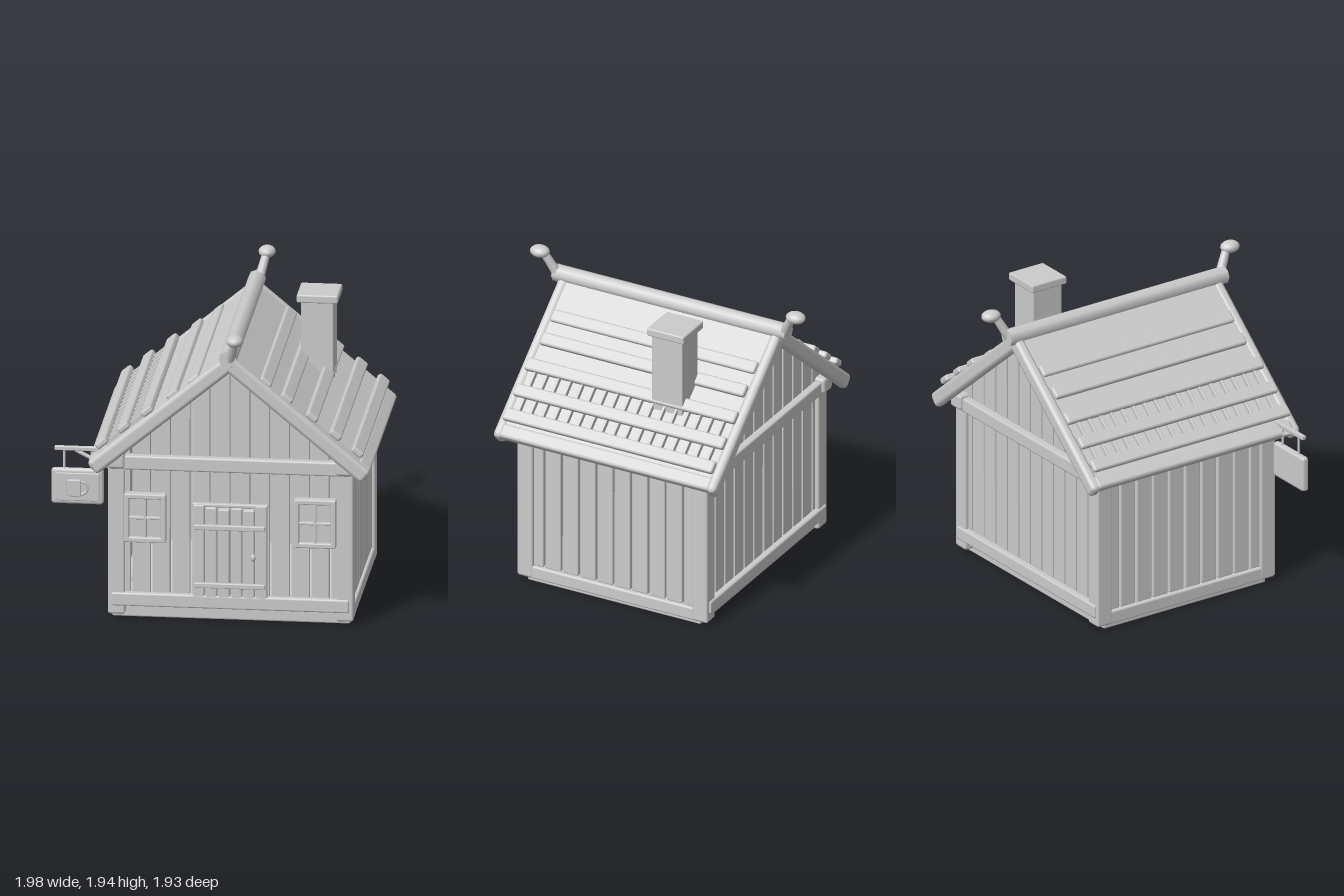
import * as THREE from 'three';
import { RoundedBoxGeometry } from 'three/addons/geometries/RoundedBoxGeometry.js';

const CX = 0.11; // centre line of the house
const clay = new THREE.MeshStandardMaterial({ color: 0xcccccc });
clay.name = 'clayGrey';

function add(parent, name, geometry, x = 0, y = 0, z = 0) {
  const mesh = new THREE.Mesh(geometry, clay);
  mesh.name = name;
  mesh.position.set(x, y, z);
  parent.add(mesh);
  return mesh;
}

// Softly bevelled box given by its minimum and maximum on each axis
function block(parent, name, x0, x1, y0, y1, z0, z1, r = 0.012) {
  const w = x1 - x0, h = y1 - y0, d = z1 - z0;
  const radius = Math.min(r, Math.min(w, h, d) * 0.45);
  return add(parent, name, new RoundedBoxGeometry(w, h, d, 1, radius),
    (x0 + x1) / 2, (y0 + y1) / 2, (z0 + z1) / 2);
}

// Round rod between two points
function rod(parent, name, a, b, r0, r1 = r0, sides = 10) {
  const from = new THREE.Vector3(...a), to = new THREE.Vector3(...b);
  const dir = to.clone().sub(from);
  const mesh = add(parent, name, new THREE.CylinderGeometry(r1, r0, dir.length(), sides));
  mesh.position.copy(from).add(to).multiplyScalar(0.5);
  mesh.quaternion.setFromUnitVectors(new THREE.Vector3(0, 1, 0), dir.normalize());
  return mesh;
}

function group(parent, name) {
  const g = new THREE.Group();
  g.name = name;
  parent.add(g);
  return g;
}

function buildWalls(house) {
  const walls = group(house, 'walls');
  const step = 0.123, gap = 0.006;
  const top = x => Math.min(1.63, 1.70 - 0.835 * Math.abs(x - CX));

  // Gable planks, cut to the roof slope
  for (let i = -6; i < 6; i++) {
    const a = Math.max(CX + i * step + gap, -0.62);
    const b = Math.min(CX + (i + 1) * step - gap, 0.84);
    const shape = new THREE.Shape();
    shape.moveTo(a, 0.1);
    shape.lineTo(b, 0.1);
    shape.lineTo(b, top(b));
    shape.lineTo(a, top(a));
    const geo = new THREE.ExtrudeGeometry(shape, {
      depth: 0.024, bevelEnabled: true, bevelSegments: 1, bevelSize: 0.004, bevelOffset: -0.004, bevelThickness: 0.004,
    });
    add(walls, 'frontPlank', geo, 0, 0, 0.616);
    add(walls, 'backPlank', geo, 0, 0, -0.64);
  }

  // Side planks
  for (let i = -5; i < 5; i++) {
    const z0 = i * 0.122 + gap, z1 = (i + 1) * 0.122 - gap;
    for (const s of [-1, 1]) {
      const x = CX + s * 0.725;
      block(walls, 'sidePlank', x - 0.016, x + 0.016, 0.118, 1.06, z0, z1, 0.008);
    }
  }
}

function buildFrame(house) {
  const frame = group(house, 'timberFrame');
  block(frame, 'foundation', -0.63, 0.845, 0, 0.11, -0.61, 0.61);
  for (const s of [-1, 1]) {
    const a = CX + s * 0.707; // centre of the corner posts
    block(frame, 'sideSill', a - 0.05, a + 0.05, 0.03, 0.115, -0.665, 0.665);
    block(frame, 'sideTopBeam', a - 0.055, a + 0.055, 0.985, 1.085, -0.71, 0.71, 0.018);
    for (const t of [-1, 1]) {
      block(frame, 'cornerPost', a - 0.053, a + 0.053, 0.035, 1.04, t * 0.615 - 0.054, t * 0.615 + 0.054);
    }
    block(frame, 'gableSill', -0.63, 0.845, 0.09, 0.175, s * 0.655 - 0.027, s * 0.655 + 0.027);
    block(frame, 'gableBeam', -0.64, 0.86, 0.975, 1.065, s * 0.655 - 0.035, s * 0.655 + 0.035);
  }
}

function buildRoof(house) {
  const roof = group(house, 'roof');
  // Raised courses: distance down the slope, height, half length
  const courses = [[1.005, 0.036, 0.74], [0.833, 0.03, 0.74], [0.65, 0.022, 0.74], [0.46, 0.004, 0.72], [0.295, -0.006, 0.72]];
  for (const turn of [0, Math.PI]) {
    const side = group(roof, turn ? 'roofRightSlope' : 'roofLeftSlope');
    side.position.set(CX, 1.772, 0);
    side.rotation.y = turn;
    const slope = group(side, 'slope'); // local x runs down the roof
    slope.rotation.z = -0.696;
    block(slope, 'deck', 0, 1.12, -0.055, -0.008, -0.725, 0.725, 0.008);
    block(slope, 'eaveBoard', 1.05, 1.145, -0.065, 0.002, -0.74, 0.74, 0.02);
    for (const [u, v, half] of courses) {
      block(slope, 'roofCourse', u - 0.042, u + 0.042, v - 0.025, v + 0.018, -half, half, 0.015);
    }
    for (let i = -8; i <= 8; i++) {
      block(slope, 'roofRung', 0.62, 1.0, -0.015, 0.022, i * 0.083 - 0.008, i * 0.083 + 0.008, 0.004);
    }
    for (const s of [-1, 1]) {
      block(slope, 'bargeBoard', 0, 1.15, -0.1, 0, s * 0.748 - 0.035, s * 0.748 + 0.035, 0.028);
    }
  }

  // Ridge beam with a knobbed finial at each end
  const ridge = add(roof, 'ridgeBeam', new THREE.CylinderGeometry(0.056, 0.056, 1.64, 8), CX, 1.75, 0);
  ridge.rotation.x = Math.PI / 2;
  for (const s of [-1, 1]) {
    rod(roof, 'finialStem', [0.115, 1.71, s * 0.775], [0.16, 1.89, s * 0.87], 0.033, 0.026);
    add(roof, 'finialKnob', new THREE.SphereGeometry(1, 16, 12), 0.163, 1.9, s * 0.9).scale.set(0.053, 0.038, 0.064);
  }
}

function buildChimney(house) {
  const chimney = group(house, 'chimney');
  block(chimney, 'chimneyStack', 0.455, 0.655, 1.2, 1.83, -0.375, -0.16, 0.006);
  block(chimney, 'chimneyCap', 0.428, 0.685, 1.82, 1.872, -0.4, -0.14, 0.01);
}

function buildWindow(house, x) {
  const win = group(house, 'window');
  win.position.set(x, 0.665, 0);
  block(win, 'windowBack', -0.11, 0.11, -0.135, 0.135, 0.63, 0.668, 0.004);
  for (const s of [-1, 1]) {
    block(win, 'windowStile', s * 0.114 - 0.016, s * 0.114 + 0.016, -0.155, 0.155, 0.63, 0.7, 0.008);
    block(win, 'windowRail', -0.125, 0.125, s * 0.14 - 0.016, s * 0.14 + 0.016, 0.63, 0.699, 0.008);
  }
  block(win, 'windowMullion', -0.009, 0.009, -0.13, 0.13, 0.66, 0.69, 0.005);
  block(win, 'windowCrossbar', -0.105, 0.105, -0.009, 0.009, 0.66, 0.69, 0.005);
}

function buildDoor(house) {
  const door = group(house, 'door');
  const tops = [0.76, 0.745, 0.735, 0.745, 0.735, 0.765];
  tops.forEach((top, i) => {
    const x = -0.125 + i * 0.0775;
    block(door, 'doorPlank', x + 0.002, x + 0.0755, 0.13, top, 0.635, 0.68, 0.01);
  });
  block(door, 'doorLintel', -0.127, 0.342, 0.745, 0.766, 0.63, 0.672, 0.006);
  for (const y of [0.245, 0.62]) block(door, 'doorBatten', -0.113, 0.327, y - 0.016, y + 0.016, 0.67, 0.7, 0.006);
  add(door, 'doorKnob', new THREE.SphereGeometry(1, 12, 8), 0.255, 0.44, 0.71).scale.set(0.016, 0.023, 0.014);
  rod(door, 'knobStem', [0.255, 0.44, 0.67], [0.255, 0.44, 0.71], 0.007);
}

function buildSign(house) {
  const sign = group(house, 'hangingSign');
  block(sign, 'signBoard', -1, -0.675, 0.735, 0.965, 0.627, 0.677, 0.02);
  block(sign, 'signPanel', -0.975, -0.7, 0.76, 0.94, 0.66, 0.684, 0.006);
  block(sign, 'signMug', -0.9, -0.812, 0.795, 0.902, 0.68, 0.705, 0.006);
  const handle = add(sign, 'mugHandle', new THREE.TorusGeometry(0.04, 0.008, 6, 12, Math.PI), -0.812, 0.848, 0.694);
  handle.rotation.z = -Math.PI / 2;
  block(sign, 'signBracket', -0.98, -0.58, 1.078, 1.105, 0.637, 0.667, 0.006);
  for (const x of [-0.92, -0.75]) rod(sign, 'signHanger', [x, 0.95, 0.652], [x, 1.09, 0.652], 0.008);
  rod(sign, 'signBrace', [-0.85, 1.08, 0.652], [-0.6, 0.955, 0.652], 0.012);
}

export function createModel() {
  const house = new THREE.Group();
  house.name = 'timberTavern';
  buildFrame(house);
  buildWalls(house);
  buildRoof(house);
  buildChimney(house);
  for (const x of [-0.417, 0.635]) buildWindow(house, x);
  buildDoor(house);
  buildSign(house);
  return house;
}
